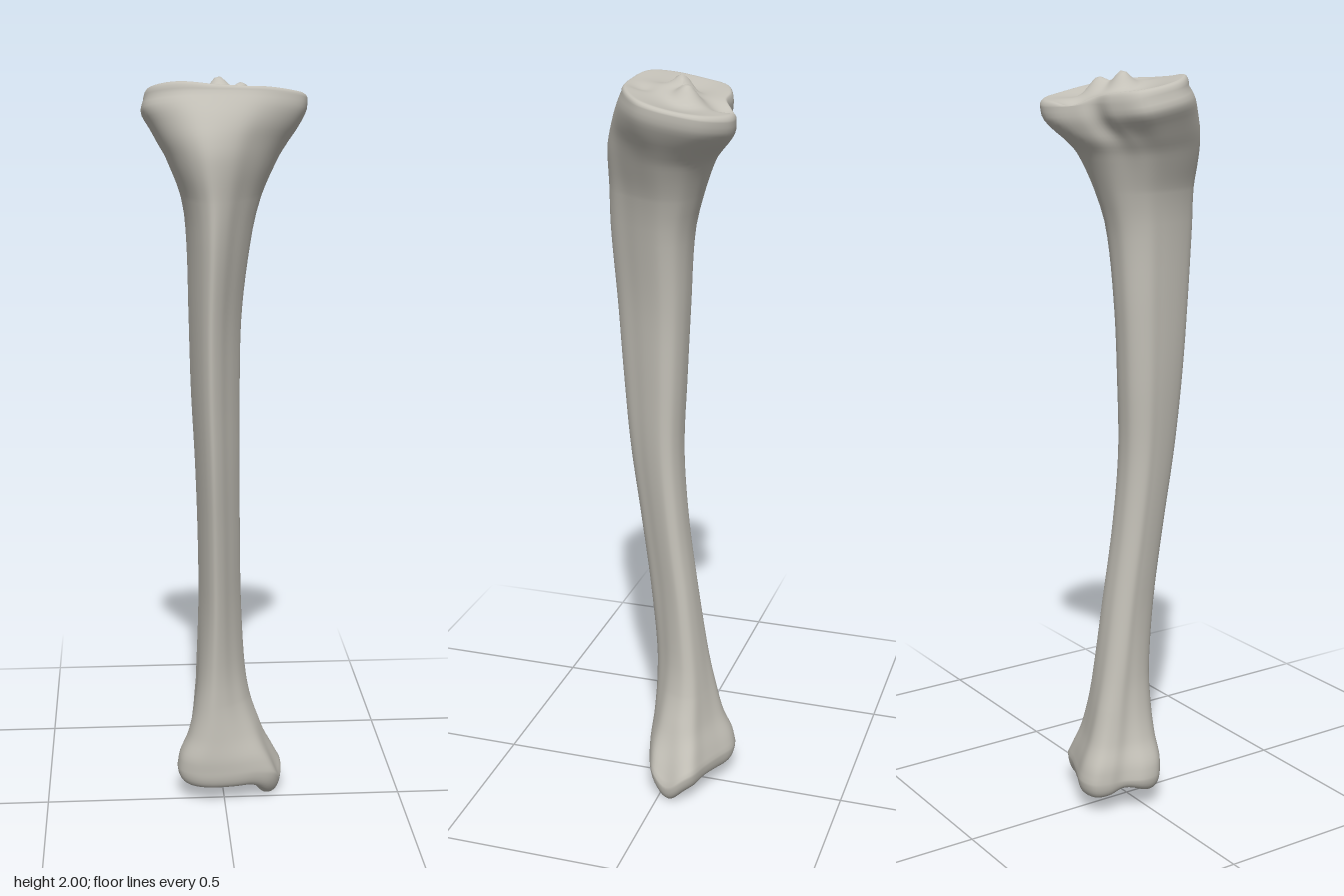
import * as THREE from 'three';

const SIDES = 80;

// Cross-section outlines as x,z pairs, from the front round by +x to the back
const SHAFT = [-.25, 1, .1, .8, .4, .45, .7, .1, .95, -.3, 1, -.55, .85, -.8, .45, -.95,
  0, -1, -.45, -.98, -.8, -.8, -1, -.5, -.95, -.15, -.85, .2, -.7, .55, -.5, .85];
const PLATEAU = [-.05, .118, .05, .112, .12, .09, .18, .05, .21, .01, .217, -.05, .195, -.13, .13, -.182,
  .07, -.187, 0, -.16, -.05, -.133, -.12, -.128, -.195, -.09, -.205, 0, -.18, .06, -.12, .105];
const ANKLE = [-.04, .06, .03, .055, .09, .04, .14, .015, .16, -.03, .165, -.07, .145, -.105, .09, -.125,
  .03, -.15, -.03, -.175, -.08, -.165, -.1, -.125, -.105, -.08, -.13, -.03, -.125, .02, -.09, .05];

// y, xMin, xMax, zMin, zMax, shape (-1 ankle, 0 shaft, 1 plateau)
const ROWS = [
  [.1, -.132, .167, -.175, .06, -1],
  [.14, -.125, .145, -.165, .062, -.95],
  [.2, -.1, .11, -.14, .058, -.75],
  [.3, -.08, .075, -.115, .053, -.45],
  [.4, -.075, .06, -.095, .053, -.2],
  [.6, -.07, .048, -.065, .072, 0],
  [.8, -.073, .043, -.037, .1, 0],
  [1, -.08, .04, -.022, .13, 0],
  [1.2, -.09, .04, -.028, .15, 0],
  [1.4, -.095, .045, -.037, .165, 0],
  [1.6, -.1, .07, -.05, .18, .05],
  [1.7, -.112, .095, -.075, .182, .15],
  [1.8, -.15, .14, -.113, .187, .35],
  [1.84, -.172, .165, -.137, .178, .5],
  [1.88, -.193, .192, -.163, .158, .75],
  [1.92, -.213, .213, -.184, .135, .95],
  [1.95, -.206, .217, -.187, .119, 1],
];

const bump = (x, z, cx, cz, r) => Math.exp(-((x - cx) ** 2 + (z - cz) ** 2) / (r * r));
const smooth = THREE.MathUtils.smoothstep;

// Stretches points to fill a box in x and z
function fit(points, x0, x1, z0, z1) {
  const box = new THREE.Box3().setFromPoints(points);
  for (const p of points) {
    p.x = THREE.MathUtils.mapLinear(p.x, box.min.x, box.max.x, x0, x1);
    p.z = THREE.MathUtils.mapLinear(p.z, box.min.z, box.max.z, z0, z1);
  }
  return points;
}

function outline(flat) {
  const points = [];
  for (let i = 0; i < flat.length; i += 2) points.push(new THREE.Vector3(flat[i], 0, flat[i + 1]));
  return fit(points, -1, 1, -1, 1);
}

// Smooth interpolation of the rows at height y
function rowAt(y) {
  let k = 0;
  while (k < ROWS.length - 2 && y > ROWS[k + 1][0]) k++;
  const a = ROWS[k], b = ROWS[k + 1], h = b[0] - a[0], t = (y - a[0]) / h;
  const slope = (i, c) => {
    const p = ROWS[Math.max(0, i - 1)], q = ROWS[Math.min(ROWS.length - 1, i + 1)];
    return (q[c] - p[c]) / (q[0] - p[0]);
  };
  return a.map((v, c) => (c === 0 ? y :
    (2 * t ** 3 - 3 * t ** 2 + 1) * v + (t ** 3 - 2 * t ** 2 + t) * h * slope(k, c) +
    (3 * t ** 2 - 2 * t ** 3) * b[c] + (t ** 3 - t ** 2) * h * slope(k + 1, c)));
}

// Backward slope of the knee end and downward tip of the inner ankle
function bend(p) {
  p.y += smooth(p.y, 1.75, 1.93) * .2 * p.z;
  p.y -= (1 - smooth(p.y, .08, .24)) * .05 * smooth(p.x, .06, .12) * Math.exp(-(((p.z + .03) / .045) ** 2));
  return p;
}

// Knee surface: two shallow basins, a pair of spines and notches between them
const kneeHeight = (x, z) => 1.966 + .014 * smooth(-x, 0, .15)
  - .016 * bump(x, z, -.11, -.02, .07) - .016 * bump(x, z, .12, -.05, .08)
  + .042 * bump(x, z, -.015, -.025, .03) + .04 * bump(x, z, .05, -.055, .032)
  + .012 * bump(x, z, .015, .02, .05) - .02 * bump(x, z, .025, -.14, .04) - .012 * bump(x, z, .04, .06, .035);

// Ankle surface: shallow arch running across
const ankleHeight = (x, z) => .05 + .02 * Math.exp(-(((z + .06) / .045) ** 2)) * (1 - smooth(x, .05, .1));

// Shrinks an end ring inwards with a rounded rim
function capRing(ring, s, rim, height) {
  const centre = ring.reduce((c, p) => c.add(p), new THREE.Vector3()).divideScalar(ring.length);
  const u = Math.max(0, (s - rim) / (1 - rim));
  const edge = 1 - Math.sqrt(1 - u * u);
  return ring.map((p) => {
    const q = p.clone().lerp(centre, 1 - s);
    q.y = THREE.MathUtils.lerp(height(q.x, q.z), p.y, edge);
    return q;
  });
}

export function createModel() {
  const shaft = outline(SHAFT), plateau = outline(PLATEAU), ankle = outline(ANKLE);

  const makeRing = (y) => {
    const [, x0, x1, z0, z1, k] = rowAt(y);
    const target = k > 0 ? plateau : ankle;
    const mixed = shaft.map((p, i) => p.clone().lerp(target[i], Math.min(1, Math.abs(k))));
    const curve = new THREE.CatmullRomCurve3(mixed, true, 'catmullrom', .5);
    const ring = Array.from({ length: SIDES }, (_, i) => curve.getPoint(i / SIDES));
    fit(ring, x0, x1, z0, z1).forEach((p) => { p.y = y; });
    return ring;
  };

  // Rings from the ankle cap, up the bone, to the knee cap
  const body = [];
  for (let y = .1; y < 1.9499; y += (y < .3 || y > 1.695) ? .0125 : .04) body.push(makeRing(y));
  body.push(makeRing(1.95));
  const steps = [.997, .985, .965, .94, .91, .87, .83];
  for (let s = .78; s > .01; s -= .06) steps.push(s);
  steps.push(0);
  const bottom = steps.map((s) => capRing(body[0], s, .8, ankleHeight)).reverse();
  const top = steps.map((s) => capRing(body[body.length - 1], s, .93, kneeHeight));
  const rings = [...bottom, ...body, ...top];

  // One shared skin, so the parts meet without a visible seam
  const positions = new Float32Array(rings.flat().flatMap((p) => bend(p).toArray()));
  const skin = new THREE.BufferGeometry();
  skin.setAttribute('position', new THREE.BufferAttribute(positions, 3));
  const strip = (from, to) => {
    const index = [];
    for (let j = from; j < to; j++) {
      for (let i = 0; i < SIDES; i++) {
        const n = (i + 1) % SIDES;
        const a = j * SIDES + i, b = j * SIDES + n, c = a + SIDES, d = b + SIDES;
        index.push(a, b, d, a, d, c);
      }
    }
    return index;
  };
  skin.setIndex(strip(0, rings.length - 1));
  skin.computeVertexNormals();

  const bone = new THREE.MeshStandardMaterial({ color: 0xc4c1b8 });
  bone.name = 'bone';
  const model = new THREE.Group();
  model.name = 'shinBone';
  const lowSplit = rings.findIndex((r, j) => j >= bottom.length && r[0].y > .25);
  const highSplit = rings.findIndex((r, j) => j >= bottom.length && r[0].y > 1.75);
  for (const [name, from, to] of [
    ['ankleEnd', 0, lowSplit],
    ['shaft', lowSplit, highSplit],
    ['kneeEnd', highSplit, rings.length - 1],
  ]) {
    const part = new THREE.BufferGeometry();
    part.setAttribute('position', skin.attributes.position);
    part.setAttribute('normal', skin.attributes.normal);
    part.setIndex(strip(from, to));
    const mesh = new THREE.Mesh(part, bone);
    mesh.name = name;
    model.add(mesh);
  }
  return model;
}
